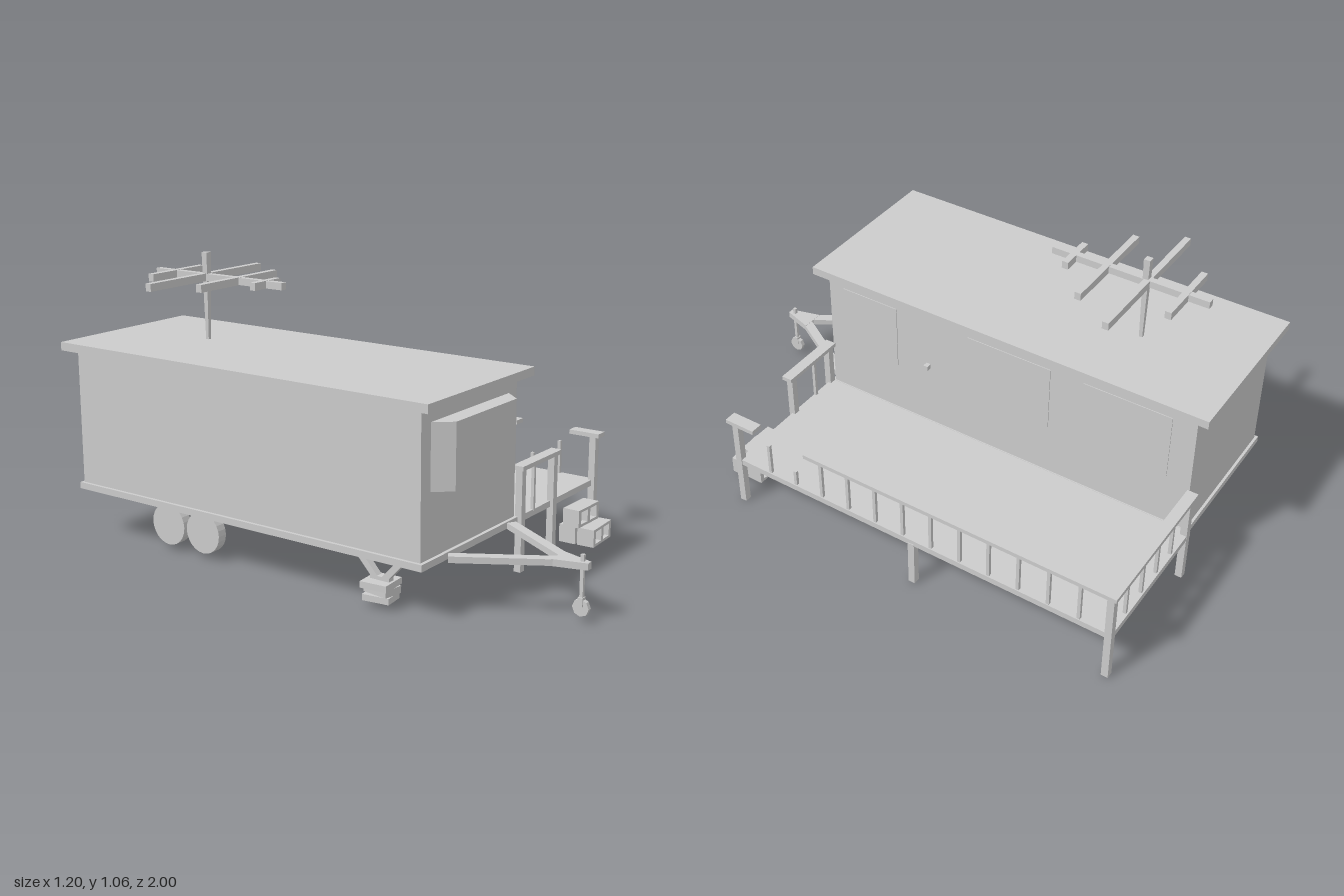
import * as THREE from 'three';

const material = new THREE.MeshStandardMaterial({ color: 0xcccccc, flatShading: true });

export function createModel() {
  const root = new THREE.Group();
  root.name = 'trailerHome';

  const add = (name, geometry, parent = root) => {
    const mesh = new THREE.Mesh(geometry, material);
    mesh.name = name;
    parent.add(mesh);
    return mesh;
  };
  // Box given by its extents on each axis
  const box = (name, x0, x1, y0, y1, z0, z1, parent = root) => {
    const mesh = add(name, new THREE.BoxGeometry(x1 - x0, y1 - y0, z1 - z0), parent);
    mesh.position.set((x0 + x1) / 2, (y0 + y1) / 2, (z0 + z1) / 2);
    return mesh;
  };
  // Rectangular bar running between two points
  const beam = (name, a, b, w, h, parent = root) => {
    const from = new THREE.Vector3(...a), to = new THREE.Vector3(...b);
    const mesh = add(name, new THREE.BoxGeometry(w, h, from.distanceTo(to)), parent);
    mesh.position.copy(from).add(to).multiplyScalar(0.5);
    mesh.lookAt(to);
    return mesh;
  };
  const group = (name) => {
    const g = new THREE.Group();
    g.name = name;
    root.add(g);
    return g;
  };

  // Cabin
  box('cabin', -0.565, 0.015, 0.2, 0.715, -0.95, 0.565);
  box('cabinFloor', -0.577, 0.02, 0.183, 0.207, -0.96, 0.578);
  box('roof', -0.6, 0.05, 0.709, 0.74, -1, 0.613);
  for (const [z0, z1] of [[0.26, 0.5], [-0.39, -0.05], [-0.86, -0.52]])
    box('sideWindow', 0.012, 0.018, 0.41, 0.667, z0, z1);
  box('doorKnob', 0.012, 0.036, 0.458, 0.476, 0.113, 0.131);

  // Front bay window, a trapezoid in plan
  const bay = new THREE.Shape([[-0.515, 0.56], [-0.033, 0.56], [-0.09, 0.627], [-0.46, 0.627]]
    .map(([x, z]) => new THREE.Vector2(x, z)));
  const bayGeo = new THREE.ExtrudeGeometry(bay, { depth: 0.228, bevelEnabled: false });
  bayGeo.rotateX(Math.PI / 2);
  add('bayWindow', bayGeo).position.y = 0.658;

  // Roof aerial
  const aerial = group('aerial');
  const mast = add('mast', new THREE.CylinderGeometry(0.017, 0.009, 0.325, 4).rotateY(Math.PI / 4), aerial);
  mast.position.set(-0.242, 0.9, -0.6);
  box('boom', -0.254, -0.23, 0.958, 0.984, -0.84, -0.238, aerial);
  for (const [z, x0, x1] of [[-0.75, -0.377, -0.105], [-0.606, -0.54, 0.058], [-0.449, -0.452, -0.037], [-0.322, -0.313, -0.173]])
    box('crossBar', x0, x1, 0.957, 0.985, z - 0.012, z + 0.012, aerial);

  // Deck and its posts
  const deck = group('deck');
  box('deckFloor', 0.015, 0.583, 0.183, 0.206, -0.972, 0.58, deck);
  const post = (x, z, top) => box('post', x - 0.013, x + 0.013, 0.003, top, z - 0.013, z + 0.013, deck);
  for (const x of [0.033, 0.258, 0.573]) post(x, 0.58, 0.376);
  for (const x of [0.033, 0.573]) post(x, -0.96, 0.376);
  post(0.573, -0.187, 0.19);

  // Railings, with a broken stretch on the outer side
  box('sideRail', 0.55, 0.597, 0.374, 0.39, -0.985, 0.26, deck);
  box('brokenRail', 0.55, 0.597, 0.374, 0.39, 0.487, 0.61, deck);
  box('backRail', 0.018, 0.55, 0.374, 0.39, -0.985, -0.943, deck);
  box('frontRail', 0.018, 0.29, 0.374, 0.39, 0.555, 0.597, deck);
  const baluster = (x, z, top = 0.376) =>
    box('baluster', x - 0.006, x + 0.006, 0.2, top, z - 0.006, z + 0.006, deck);
  for (let i = 0; i < 10; i++) baluster(0.573, 0.203 - i * 0.1165);
  baluster(0.573, 0.436, 0.333);
  baluster(0.573, 0.32, 0.268);
  for (const x of [0.147, 0.253, 0.36, 0.47]) baluster(x, -0.96);
  baluster(0.13, 0.575);

  // Tow frame and jack wheel
  const hitch = group('towHitch');
  for (const s of [-1, 1])
    beam('towBar', [-0.242 + s * 0.2, 0.195, 0.59], [-0.242 + s * 0.014, 0.195, 0.9], 0.036, 0.022, hitch);
  const tongue = new THREE.Shape([[-0.287, 0.88], [-0.197, 0.88], [-0.234, 0.997], [-0.256, 0.997]]
    .map(([x, z]) => new THREE.Vector2(x, z)));
  const tongueGeo = new THREE.ExtrudeGeometry(tongue, { depth: 0.024, bevelEnabled: false });
  add('coupling', tongueGeo.rotateX(Math.PI / 2), hitch).position.y = 0.207;
  box('jackRod', -0.25, -0.238, 0.07, 0.23, 0.966, 0.978, hitch);
  box('jackFork', -0.256, -0.234, 0.055, 0.085, 0.963, 0.981, hitch);
  const jackWheel = add('jackWheel', new THREE.CylinderGeometry(0.03, 0.03, 0.016, 8).rotateZ(Math.PI / 2), hitch);
  jackWheel.position.set(-0.244, 0.05, 0.972);

  // Tandem wheels on each side
  for (const x of [-0.495, -0.054]) for (const z of [-0.408, -0.574]) {
    const wheel = add('wheel', new THREE.CylinderGeometry(0.077, 0.077, 0.038, 24).rotateZ(Math.PI / 2));
    wheel.position.set(x, 0.099, z);
  }

  // V-shaped stabiliser standing on stacked slabs
  const support = group('stabiliser');
  beam('strut', [-0.505, 0.19, 0.473], [-0.505, 0.1, 0.39], 0.026, 0.022, support);
  beam('strut', [-0.505, 0.19, 0.272], [-0.505, 0.1, 0.355], 0.026, 0.022, support);
  box('strutFoot', -0.518, -0.492, 0.09, 0.107, 0.335, 0.41, support);
  for (const [x0, x1, y0, y1, turn] of [[-0.558, -0.455, 0.071, 0.094, 0.08],
    [-0.535, -0.46, 0.046, 0.071, -0.15], [-0.545, -0.47, 0.024, 0.046, 0.12]])
    box('slab', x0, x1, y0, y1, 0.32, 0.42, support).rotation.y = turn;

  // Hollow blocks used as steps
  const steps = group('blockSteps');
  const hollowBlock = (x, y, z, turn) => {
    const w = 0.15, h = 0.066, d = 0.066;
    const shape = new THREE.Shape([[-w, -h], [w, -h], [w, h], [-w, h]].map(([a, b]) => new THREE.Vector2(a / 2, b / 2)));
    for (const cx of [-0.033, 0.033])
      shape.holes.push(new THREE.Path([[-1, -1], [-1, 1], [1, 1], [1, -1]]
        .map(([a, b]) => new THREE.Vector2(cx + a * 0.024, b * 0.023))));
    const geo = new THREE.ExtrudeGeometry(shape, { depth: d, bevelEnabled: false }).translate(0, 0, -d / 2);
    const block = add('hollowBlock', geo, steps);
    block.position.set(x, y, z);
    block.rotation.y = turn;
  };
  hollowBlock(0.415, 0.122, 0.618, -0.02);
  hollowBlock(0.42, 0.056, 0.6, 0);
  hollowBlock(0.423, 0.056, 0.67, 0.05);

  return root;
}
